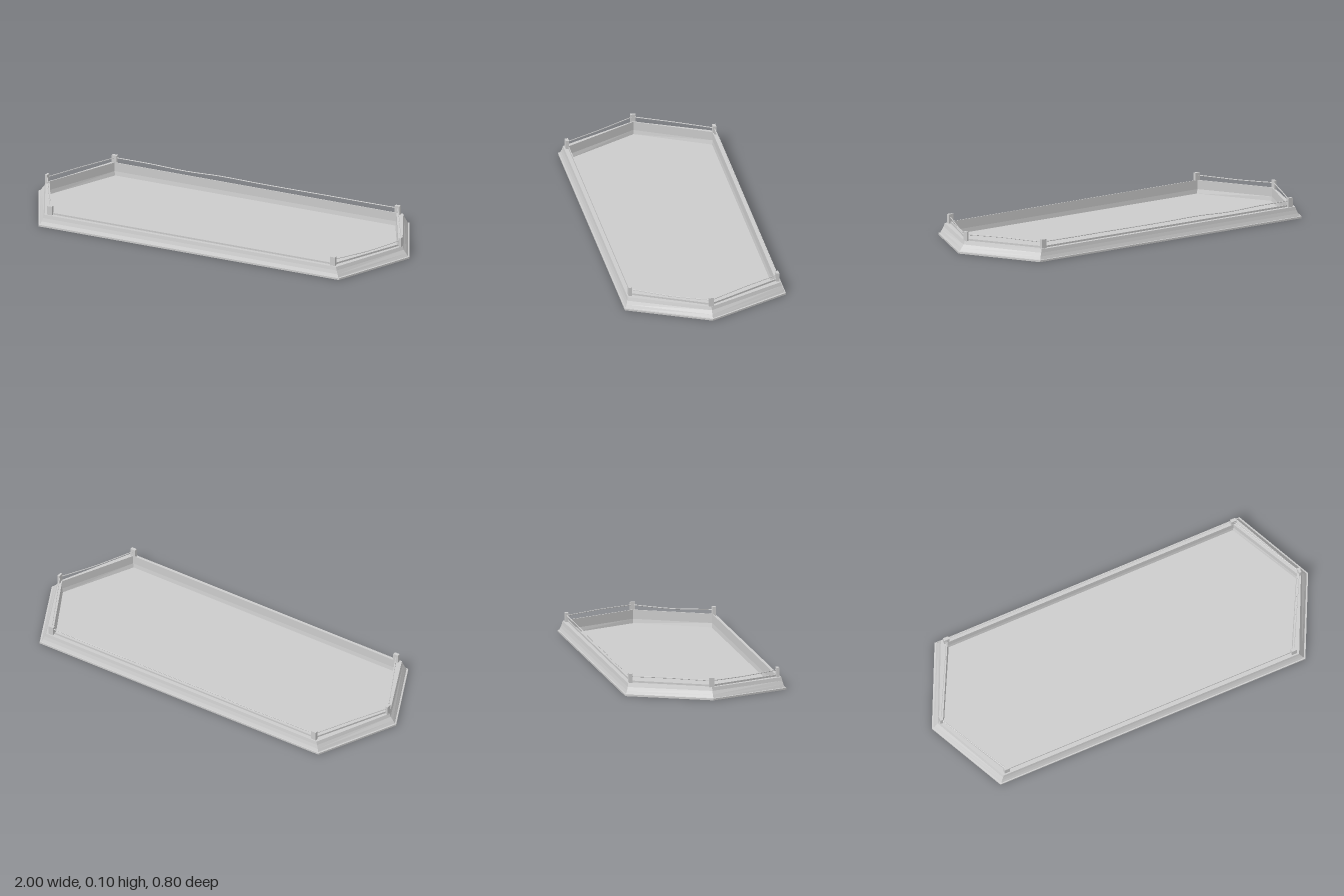
import * as THREE from 'three';

const grey = new THREE.MeshStandardMaterial({ color: 0xcccccc, flatShading: true, side: THREE.DoubleSide });

// Six corners of a stretched hexagon: tip = x of the end points, cx / cz = x and z of the four corners
const hexagon = ([tip, cx, cz, y]) => [
  [tip, y, 0], [cx, y, -cz], [-cx, y, -cz], [-tip, y, 0], [-cx, y, cz], [cx, y, cz],
].map((p) => new THREE.Vector3(...p));

// Skin a list of hexagonal cross-sections, faces outward for rows going up
function hexShell(rows, name) {
  const loops = rows.map(hexagon);
  const points = [];
  for (let r = 0; r < loops.length - 1; r++) {
    for (let i = 0; i < 6; i++) {
      const j = (i + 1) % 6;
      const [a, b, c, d] = [loops[r][i], loops[r][j], loops[r + 1][j], loops[r + 1][i]];
      points.push(a, b, c, a, c, d);
    }
  }
  const geometry = new THREE.BufferGeometry().setFromPoints(points);
  geometry.computeVertexNormals();
  return part(geometry, name);
}

function part(geometry, name) {
  const mesh = new THREE.Mesh(geometry, grey);
  mesh.name = name;
  return mesh;
}

export function createModel() {
  const group = new THREE.Group();
  group.name = 'hexagonalRing';

  // Plinth, curved apron, ledge, raised lip and inner wall: [tip, corner x, corner z, y]
  group.add(hexShell([
    [1.0, 0.81, 0.4, 0],
    [1.0, 0.81, 0.4, 0.009],
    [0.992, 0.803, 0.395, 0.01],
    [0.982, 0.798, 0.389, 0.024],
    [0.968, 0.79, 0.384, 0.041],
    [0.962, 0.785, 0.381, 0.058],
    [0.946, 0.765, 0.361, 0.058],
    [0.946, 0.765, 0.361, 0.067],
    [0.94, 0.76, 0.357, 0.067],
    [0.94, 0.76, 0.357, 0.022],
    [0.936, 0.755, 0.354, 0.001],
  ], 'borderWall'));

  // Floor slab
  const outline = hexagon([0.936, 0.755, 0.354, 0]).map((p) => new THREE.Vector2(p.x, -p.z));
  const floor = part(new THREE.ShapeGeometry(new THREE.Shape(outline)), 'floor');
  floor.rotation.x = -Math.PI / 2;
  floor.position.y = 0.001;
  group.add(floor);

  // A post on each corner of the ledge
  const posts = hexagon([0.953, 0.763, 0.366, 0.08]);
  posts.forEach((p, i) => {
    const atTip = i % 3 === 0;
    const size = atTip ? [0.012, 0.046, 0.026] : [0.027, 0.046, 0.016];
    const post = part(new THREE.BoxGeometry(...size), atTip ? 'endPost' : 'cornerPost');
    post.position.copy(p);
    group.add(post);
  });

  // Slack ropes between posts, the front side left open: [from, to, heights along the span]
  const ropes = [
    [0, 1, [0.089, 0.091, 0.092, 0.090, 0.088]],
    [1, 2, [0.090, 0.089, 0.089, 0.088, 0.088, 0.090, 0.084, 0.089, 0.089]],
    [2, 3, [0.088, 0.089, 0.090, 0.089, 0.088]],
    [3, 4, [0.089, 0.087, 0.086, 0.088, 0.090]],
    [5, 0, [0.088, 0.084, 0.081, 0.084, 0.089]],
  ];
  for (const [from, to, heights] of ropes) {
    const path = heights.map((y, k) =>
      new THREE.Vector3().lerpVectors(posts[from], posts[to], k / (heights.length - 1)).setY(y));
    group.add(part(new THREE.TubeGeometry(new THREE.CatmullRomCurve3(path), 32, 0.0025, 6), 'rope'));
  }
  return group;
}
